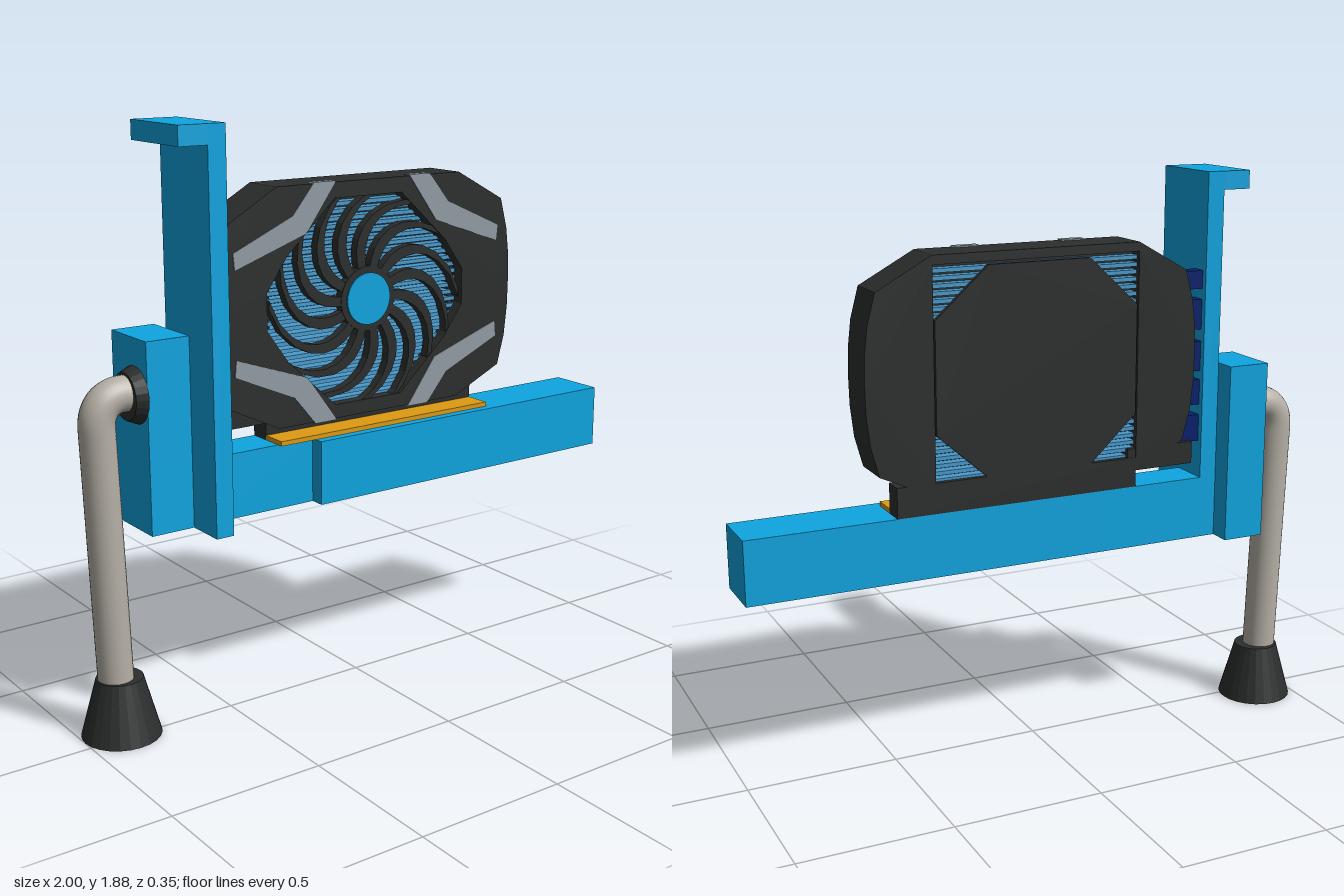
import * as THREE from 'three';

const mat = (color) => new THREE.MeshStandardMaterial({ color, flatShading: true });

export function createModel() {
  const group = new THREE.Group();
  const blue = mat(0x0ea5e0), finBlue = mat(0x4a9acb), navy = mat(0x06206a);
  const dark = mat(0x2c2e2e), silver = mat(0x929ca5), gold = mat(0xdd9b14);
  const pipeMat = new THREE.MeshStandardMaterial({ color: 0xb5b0a6 });

  const add = (name, geometry, material, parent = group) => {
    const mesh = new THREE.Mesh(geometry, material);
    mesh.name = name;
    parent.add(mesh);
    return mesh;
  };
  // Box given by its limits on each axis
  const box = (name, material, x0, x1, y0, y1, z0, z1, parent) => {
    const mesh = add(name, new THREE.BoxGeometry(x1 - x0, y1 - y0, z1 - z0), material, parent);
    mesh.position.set((x0 + x1) / 2, (y0 + y1) / 2, (z0 + z1) / 2);
    return mesh;
  };
  const points = (list) => list.map(([x, y]) => new THREE.Vector2(x, y));
  // Flat outline, with an optional hole, extruded from z0 to z1
  const slab = (name, material, outline, z0, z1, hole, parent) => {
    const shape = new THREE.Shape(points(outline));
    if (hole) shape.holes.push(new THREE.Path(points(hole)));
    const geo = new THREE.ExtrudeGeometry(shape, { depth: z1 - z0, bevelEnabled: false });
    geo.translate(0, 0, z0);
    return add(name, geo, material, parent);
  };

  // Stand: upright post with hook, rear bracket and stepped beam
  box('post', blue, -0.64, -0.58, 0.65, 1.88, -0.1, 0.175);
  box('hook', blue, -0.735, -0.64, 1.82, 1.88, -0.1, 0.175);
  box('pipeBracket', blue, -0.785, -0.64, 0.65, 1.25, -0.175, 0.04);
  box('innerBeam', blue, -0.58, -0.2, 0.65, 0.86, -0.1, 0.04);
  box('outerBeam', blue, -0.2, 1, 0.65, 0.86, -0.1, 0.09);

  // Bent pipe with wall flange and conical foot
  const zPipe = -0.038;
  const v = (x, y) => new THREE.Vector3(x, y, zPipe);
  const path = new THREE.CurvePath();
  path.add(new THREE.LineCurve3(v(-0.77, 1.085), v(-0.83, 1.085)));
  path.add(new THREE.CubicBezierCurve3(v(-0.83, 1.085), v(-0.885, 1.085), v(-0.917, 1.05), v(-0.915, 0.99)));
  path.add(new THREE.LineCurve3(v(-0.915, 0.99), v(-0.886, 0.15)));
  add('pipe', new THREE.TubeGeometry(path, 80, 0.056, 24), pipeMat);
  const foot = add('foot', new THREE.CylinderGeometry(0.074, 0.126, 0.19, 24), dark);
  foot.position.set(-0.874, 0.095, zPipe);
  const flange = add('pipeFlange', new THREE.CylinderGeometry(0.074, 0.09, 0.035, 24), dark);
  flange.rotation.z = Math.PI / 2;
  flange.position.set(-0.802, 1.075, zPipe);

  // Card shroud: fan plate in front, hollow frame behind
  const card = new THREE.Group();
  card.name = 'card';
  group.add(card);
  const outline = [
    [0.38, 0.915], [0.565, 1.0], [0.592, 1.1], [0.603, 1.2], [0.605, 1.29], [0.603, 1.38], [0.592, 1.47],
    [0.565, 1.57], [0.38, 1.67], [-0.33, 1.67], [-0.505, 1.57], [-0.532, 1.47], [-0.543, 1.38],
    [-0.545, 1.29], [-0.543, 1.2], [-0.532, 1.1], [-0.505, 1.0], [-0.33, 0.915],
  ];
  const cx = 0.015, cy = 1.29;
  const about = (list) => list.map(([x, y]) => [cx + x, cy + y]);
  const opening = about([
    [0.13, 0.33], [-0.13, 0.33], [-0.31, 0.165], [-0.385, 0.06], [-0.385, -0.06], [-0.31, -0.165],
    [-0.13, -0.33], [0.13, -0.33], [0.31, -0.165], [0.385, -0.06], [0.385, 0.06], [0.31, 0.165],
  ]);
  slab('fanPlate', dark, outline, 0, 0.05, opening, card);
  slab('shroudFrame', dark, outline, -0.1, 0,
    [[-0.33, 0.945], [-0.33, 1.64], [0.38, 1.64], [0.38, 0.945]], card);
  slab('backPlate', dark, about([
    [0.18, 0.34], [-0.17, 0.34], [-0.34, 0.18], [-0.34, -0.18],
    [-0.17, -0.34], [0.18, -0.34], [0.36, -0.18], [0.36, 0.18],
  ]), -0.1, -0.085, null, card);

  // Stack of heat sink fins around a dark core
  box('heatSinkCore', dark, -0.33, 0.38, 0.945, 1.64, -0.05, -0.03, card);
  for (let i = 0; i < 29; i++) {
    const y = 0.955 + i * 0.0235;
    box('heatSinkFin', finBlue, -0.365, 0.4, y, y + 0.013, -0.083, 0.012, card);
  }

  // Fan: hub and swept blades
  const fan = new THREE.Group();
  fan.name = 'fan';
  fan.position.set(cx, cy, 0);
  card.add(fan);
  const hub = add('fanHub', new THREE.CylinderGeometry(0.084, 0.084, 0.04, 32), blue, fan);
  hub.rotation.x = Math.PI / 2;
  hub.position.z = 0.032;
  const collar = add('fanCollar', new THREE.CylinderGeometry(0.105, 0.105, 0.03, 32), dark, fan);
  collar.rotation.x = Math.PI / 2;
  collar.position.z = 0.032;
  const count = 14, steps = 8;
  const edge = (side) => Array.from({ length: steps + 1 }, (_, i) => {
    const t = i / steps, r = 0.09 + 0.285 * t;
    const angle = -0.95 * t * t + side * (0.014 + 0.006 * Math.sin(Math.PI * t)) / r;
    return [r * Math.cos(angle), r * Math.sin(angle)];
  });
  const bladeOutline = [...edge(-1), ...edge(1).reverse()];
  for (let i = 0; i < count; i++) {
    slab('fanBlade', dark, bladeOutline, 0.014, 0.045, null, fan).rotation.z = (i / count) * Math.PI * 2;
  }

  // Four angled trim strips, mirrored across the card centre
  const strip = [[-0.52, 0.19], [-0.305, 0.285], [-0.225, 0.382], [-0.143, 0.382], [-0.255, 0.228], [-0.515, 0.138]];
  for (const sx of [1, -1]) for (const sy of [1, -1]) {
    slab('trimStrip', silver, strip.map(([x, y]) => [0.03 + sx * x, 1.2925 + sy * y]), 0.025, 0.053, null, card);
  }

  // Circuit board, edge connector and side ports
  box('board', dark, -0.545, -0.3, 0.915, 0.99, -0.098, -0.03, card);
  box('connectorBoard', dark, -0.33, 0.51, 0.86, 0.96, -0.1, -0.03, card);
  box('edgeConnector', gold, -0.33, 0.51, 0.86, 0.875, -0.03, 0.06, card);
  for (const [y0, y1] of [[0.985, 1.075], [1.11, 1.195], [1.225, 1.325], [1.365, 1.465], [1.5, 1.56]]) {
    box('port', navy, -0.58, -0.46, y0, y1, -0.08, -0.03, card);
  }
  return group;
}
